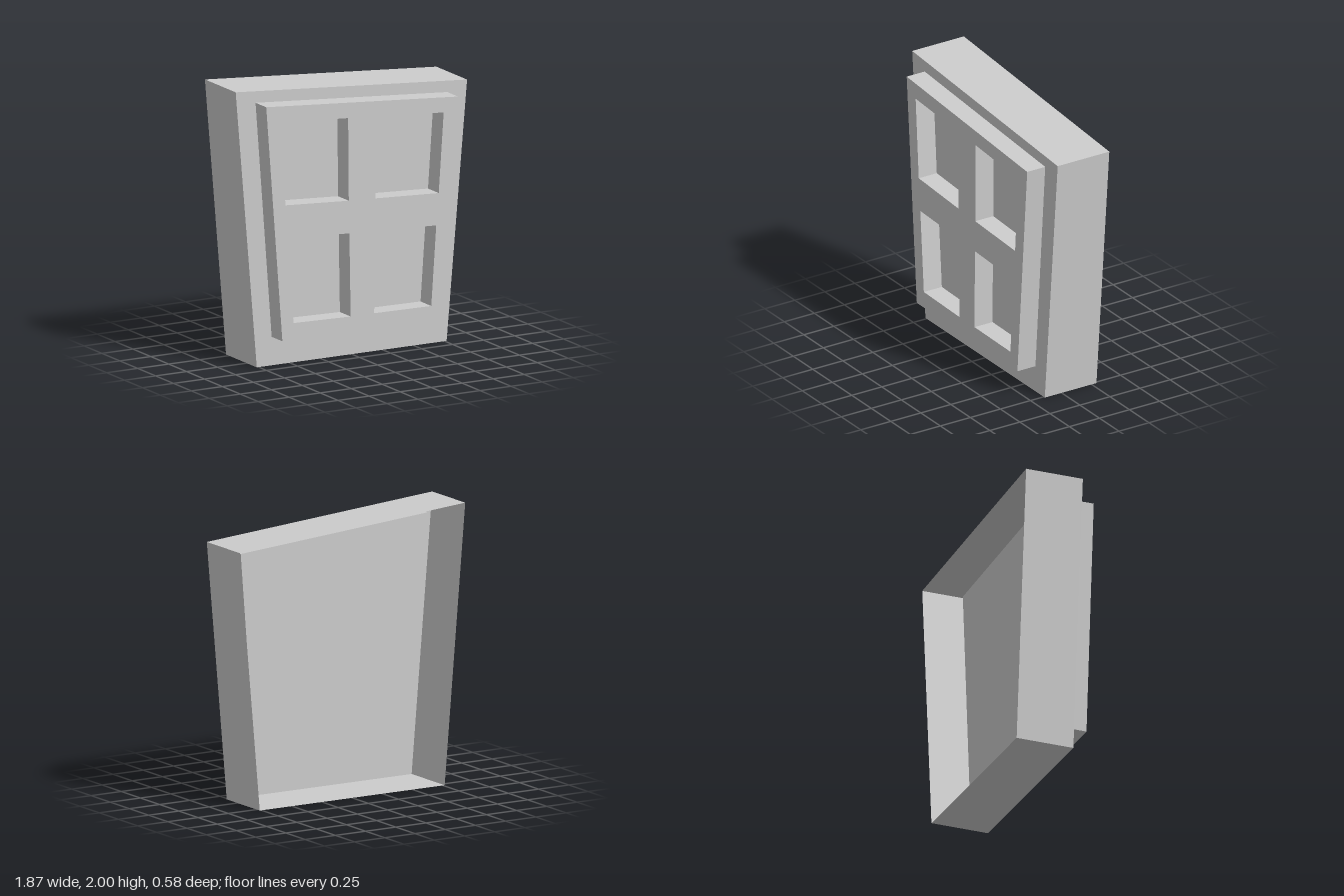
import * as THREE from 'three';

const BACK = -0.29, FACE = 0.14, FRONT = 0.29, PANEL_BACK = -0.05;

// Skewed outlines, listed anticlockwise from the lower right-hand corner
const outer = [[-0.765, 0], [0.765, 0], [0.93, 1.86], [-0.935, 2]];
const panel = [[-0.645, 0.205], [0.645, 0.195], [0.77, 1.79], [-0.775, 1.905]];
const windows = [
  [[-0.62, 1.18], [-0.11, 1.15], [-0.115, 1.745], [-0.66, 1.78]],
  [[0.105, 1.14], [0.615, 1.115], [0.655, 1.69], [0.11, 1.73]],
  [[-0.555, 0.325], [-0.095, 0.315], [-0.105, 0.915], [-0.6, 0.935]],
  [[0.095, 0.315], [0.555, 0.31], [0.595, 0.885], [0.1, 0.905]],
];

const points = (list) => list.map(([x, y]) => new THREE.Vector2(x, y));

function shapeOf(outline, holes = []) {
  const shape = new THREE.Shape(points(outline));
  shape.holes = holes.map((h) => new THREE.Path(points(h)));
  return shape;
}

function slab(outline, holes, z0, z1) {
  const geometry = new THREE.ExtrudeGeometry(shapeOf(outline, holes), { depth: z1 - z0, bevelEnabled: false });
  return geometry.translate(0, 0, z0);
}

// Thin side walls following an outline between two depths
function walls(outline, z0, z1) {
  const pos = [];
  outline.forEach(([ax, ay], i) => {
    const [bx, by] = outline[(i + 1) % outline.length];
    pos.push(ax, ay, z0, bx, by, z0, bx, by, z1, ax, ay, z0, bx, by, z1, ax, ay, z1);
  });
  const geometry = new THREE.BufferGeometry();
  geometry.setAttribute('position', new THREE.Float32BufferAttribute(pos, 3));
  geometry.computeVertexNormals();
  return geometry;
}

export function createModel() {
  const group = new THREE.Group();
  group.name = 'crookedWindow';
  const solid = new THREE.MeshStandardMaterial({ color: 0xcccccc, flatShading: true });
  const thin = new THREE.MeshStandardMaterial({ color: 0xcccccc, flatShading: true, side: THREE.DoubleSide });

  const add = (name, geometry, material) => {
    const mesh = new THREE.Mesh(geometry, material);
    mesh.name = name;
    group.add(mesh);
  };

  // Outer casing, open at the back
  add('casingWalls', walls(outer, BACK, FACE), thin);
  add('casingFace', new THREE.ShapeGeometry(shapeOf(outer, [panel])).translate(0, 0, FACE), thin);

  // Raised frame with four panes, and the solid block behind it
  add('windowFrame', slab(panel, windows, FACE, FRONT), solid);
  add('paneBlock', slab(panel, [], PANEL_BACK, FACE), solid);

  return group;
}
